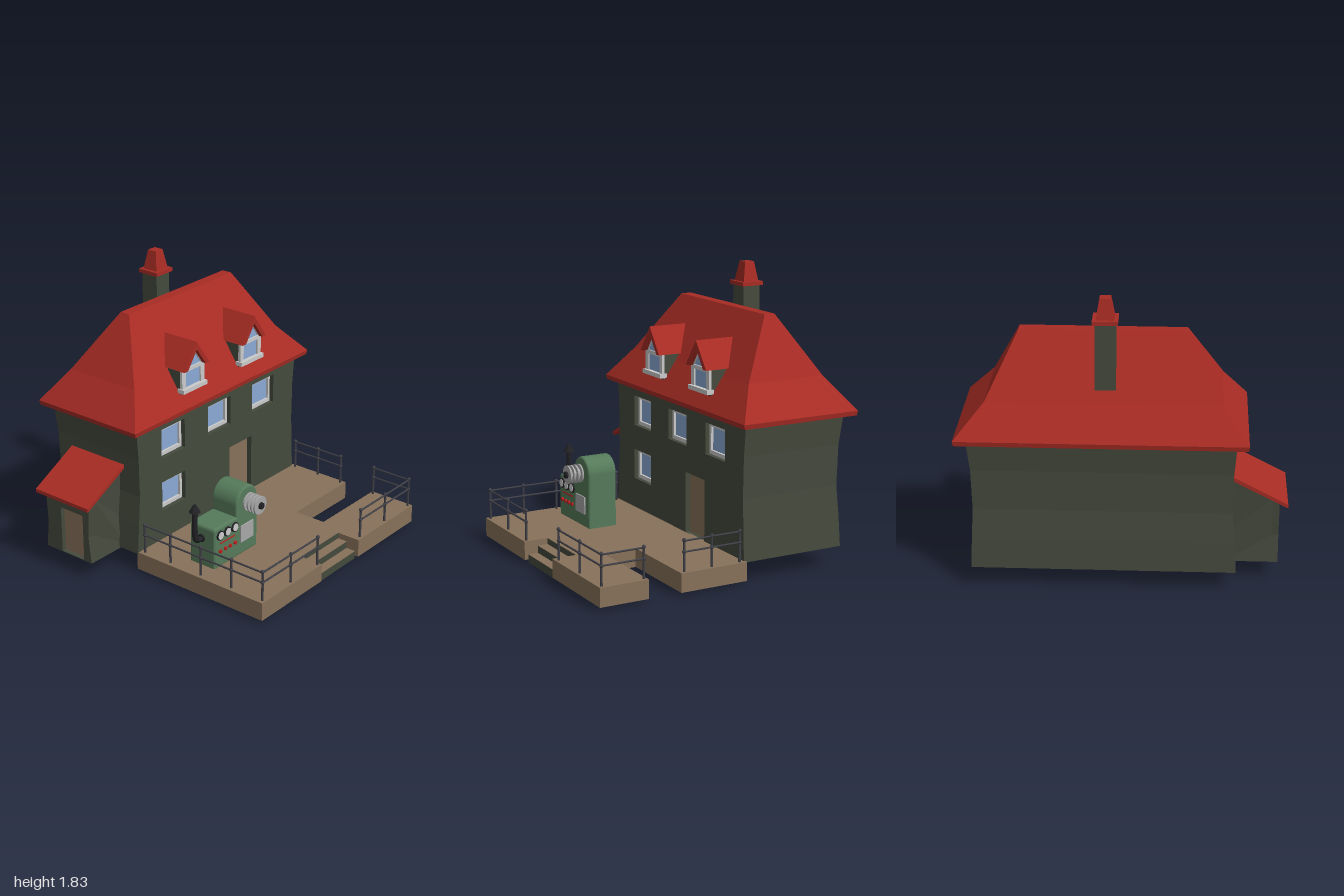
import * as THREE from 'three';

const C = { wall: 0x454a3d, roof: 0xa82c24, wood: 0x88725a, glass: 0x8aa9d6, trim: 0xbcbcbc,
  dark: 0x222226, rail: 0x404048, green: 0x557a5a, red: 0xc02020, steel: 0xa8a8a8 };
const mats = {};
function mat(color, flat) {
  const key = color + (flat ? 'f' : 's');
  return mats[key] ??= new THREE.MeshStandardMaterial({ color, flatShading: flat, side: THREE.DoubleSide });
}
function add(parent, name, geo, color, x = 0, y = 0, z = 0, flat = true) {
  const m = new THREE.Mesh(geo, mat(color, flat));
  m.name = name;
  m.position.set(x, y, z);
  parent.add(m);
  return m;
}
// box given by its extents
function block(parent, name, color, x0, x1, y0, y1, z0, z1) {
  return add(parent, name, new THREE.BoxGeometry(x1 - x0, y1 - y0, z1 - z0), color,
    (x0 + x1) / 2, (y0 + y1) / 2, (z0 + z1) / 2);
}
// stacked rectangles [y, x0, x1, z0, z1], closed at both ends
function loft(rings) {
  const pos = [], idx = [];
  rings.forEach(([y, x0, x1, z0, z1]) => pos.push(x0, y, z1, x1, y, z1, x1, y, z0, x0, y, z0));
  for (let r = 0; r < rings.length - 1; r++) for (let i = 0; i < 4; i++) {
    const a = r * 4 + i, b = r * 4 + (i + 1) % 4;
    idx.push(a, b, b + 4, a, b + 4, a + 4);
  }
  const t = rings.length * 4 - 4;
  idx.push(0, 2, 1, 0, 3, 2, t, t + 1, t + 2, t, t + 2, t + 3);
  const g = new THREE.BufferGeometry();
  g.setAttribute('position', new THREE.Float32BufferAttribute(pos, 3));
  g.setIndex(idx);
  const out = g.toNonIndexed();
  out.computeVertexNormals();
  return out;
}
const shapeOf = pts => new THREE.Shape(pts.map(p => new THREE.Vector2(p[0], p[1])));
const rectHole = (a, b, y0, y1) => new THREE.Path([[a, y0], [b, y0], [b, y1], [a, y1]].map(p => new THREE.Vector2(...p)));
// extrude a (-z, y) outline along x
function alongX(shape, x0, x1, opt = {}) {
  const g = new THREE.ExtrudeGeometry(shape, { depth: x1 - x0, bevelEnabled: false, curveSegments: 20, ...opt });
  return g.rotateY(Math.PI / 2).translate(x0, 0, 0);
}
function rod(parent, name, a, b, r, color) {
  const curve = new THREE.LineCurve3(new THREE.Vector3(...a), new THREE.Vector3(...b));
  return add(parent, name, new THREE.TubeGeometry(curve, 1, r, 8), color, 0, 0, 0, false);
}

function buildHouse(root) {
  const g = new THREE.Group(); g.name = 'house'; root.add(g);
  // curved walls: y, outer x, z range
  const prof = [[0.13, -0.82, -0.925, 0.69], [0.33, -0.81, -0.915, 0.675], [0.52, -0.795, -0.905, 0.66],
    [0.78, -0.8, -0.91, 0.665], [0.98, -0.82, -0.93, 0.68]];
  add(g, 'walls', loft(prof.map(([y, x, z0, z1]) => [y, x, -0.17, z0, z1])), C.wall);
  // courtyard wall with recessed openings
  const face = shapeOf([...prof.map(p => [-p[3], p[0]]), ...prof.slice().reverse().map(p => [-p[2], p[0]])]);
  const windows = [[0.225, 0.45, 0.705], [-0.235, -0.005, 0.705], [-0.695, -0.465, 0.705], [0.225, 0.45, 0.34]];
  windows.forEach(([z0, z1, y]) => face.holes.push(rectHole(-z1, -z0, y, y + 0.2)));
  face.holes.push(rectHole(0.225, 0.46, 0.14, 0.535));
  add(g, 'courtyardWall', alongX(face, -0.175, -0.115), C.wall);
  windows.forEach(([z0, z1, y]) => {
    const f = shapeOf([[-z1, y], [-z0, y], [-z0, y + 0.2], [-z1, y + 0.2]]);
    f.holes.push(rectHole(-z1 + 0.02, -z0 - 0.02, y + 0.025, y + 0.175));
    add(g, 'windowFrame', alongX(f, -0.17, -0.145), C.trim);
    block(g, 'windowGlass', C.glass, -0.17, -0.16, y + 0.02, y + 0.18, z0 + 0.015, z1 - 0.015);
  });
  block(g, 'houseDoor', C.wood, -0.175, -0.15, 0.14, 0.535, -0.46, -0.225);

  // hipped roof with a kink in the slope
  add(g, 'roof', loft([[0.97, -0.87, -0.065, -0.995, 0.745], [1.0, -0.875, -0.06, -1, 0.75],
    [1.2, -0.735, -0.2, -0.82, 0.595], [1.575, -0.5, -0.43, -0.63, 0.375]]), C.roof);

  // chimney
  const box = (y, r) => [y, -0.63 - r, -0.63 + r, -0.105 - r, -0.105 + r];
  add(g, 'chimneyStack', loft([box(1.12, 0.063), box(1.69, 0.06)]), C.wall);
  add(g, 'chimneyCap', loft([box(1.68, 0.076), box(1.705, 0.076), box(1.705, 0.055), box(1.83, 0.033)]), C.roof);

  // dormers
  for (const z of [0.157, -0.423]) {
    const d = new THREE.Group(); d.name = 'dormer'; d.position.z = z; g.add(d);
    add(d, 'dormerBody', alongX(shapeOf([[-0.105, 1.08], [0.105, 1.08], [0.105, 1.24], [0, 1.385], [-0.105, 1.24]]), -0.35, -0.115), C.wall);
    add(d, 'dormerRoof', alongX(shapeOf([[-0.122, 1.245], [-0.086, 1.245], [0, 1.365], [0.086, 1.245], [0.122, 1.245], [0, 1.415]]), -0.345, -0.068), C.roof);
    const f = shapeOf([[-0.108, 1.11], [0.108, 1.11], [0.108, 1.245], [0, 1.395], [-0.108, 1.245]]);
    f.holes.push(rectHole(-0.072, 0.072, 1.12, 1.225));
    f.holes.push(new THREE.Path([[-0.08, 1.25], [0.08, 1.25], [0, 1.362]].map(p => new THREE.Vector2(...p))));
    add(d, 'dormerFrame', alongX(f, -0.115, -0.098), C.trim);
    add(d, 'dormerGlass', alongX(shapeOf([[-0.09, 1.11], [0.09, 1.11], [0.09, 1.25], [0, 1.375], [-0.09, 1.25]]), -0.118, -0.108), C.glass);
    block(d, 'dormerSill', C.trim, -0.13, -0.08, 1.092, 1.12, -0.115, 0.115);
  }
}

function buildAnnex(root) {
  const g = new THREE.Group(); g.name = 'annex'; root.add(g);
  // lean-to body, sides flared toward the ground
  const body = alongX(shapeOf([[-0.91, 0.12], [-0.62, 0.12], [-0.62, 0.3], [-0.62, 0.7], [-0.91, 0.55], [-0.91, 0.3]]), -0.5, 0.5);
  const p = body.attributes.position;
  const half = y => y < 0.3 ? 0.192 - (y - 0.12) / 0.18 * 0.02 : 0.172 + Math.min(1, (y - 0.3) / 0.22) * 0.015;
  for (let i = 0; i < p.count; i++) p.setX(i, -0.463 + Math.sign(p.getX(i)) * half(p.getY(i)));
  add(g, 'annexWalls', body, C.wall);
  // front wall with the door opening
  const ys = [0.12, 0.3, 0.54];
  const front = shapeOf([...ys.map(y => [-0.463 + half(y), y]), ...ys.slice().reverse().map(y => [-0.463 - half(y), y])]);
  front.holes.push(rectHole(-0.522, -0.335, 0.125, 0.435));
  add(g, 'annexFront', new THREE.ExtrudeGeometry(front, { depth: 0.045, bevelEnabled: false }), C.wall, 0, 0, 0.905);
  block(g, 'annexDoor', C.wood, -0.525, -0.33, 0.12, 0.436, 0.9, 0.92);
  add(g, 'annexRoof', alongX(shapeOf([[-1, 0.508], [-0.64, 0.695], [-0.64, 0.722], [-1, 0.532]]), -0.685, -0.24), C.roof);
}

function buildDeck(root) {
  const g = new THREE.Group(); g.name = 'deck'; root.add(g);
  // hollow platform: top sheet and skirt
  const o = [[-0.125, 0.685], [0.87, 0.685], [0.87, 0.08], [0.71, 0.08], [0.71, -0.32], [0.87, -0.32],
    [0.87, -0.945], [0.55, -0.945], [0.55, -0.38], [0.33, -0.38], [0.33, -0.945], [-0.125, -0.945]];
  add(g, 'deckTop', new THREE.ShapeGeometry(shapeOf(o.map(([x, z]) => [x, -z]))).rotateX(-Math.PI / 2), C.wood, 0, 0.14, 0);
  o.forEach(([x, z], i) => {
    const [x2, z2] = o[(i + 1) % o.length];
    const m = add(g, 'deckSkirt', new THREE.PlaneGeometry(Math.hypot(x2 - x, z2 - z), 0.12), C.wood, (x + x2) / 2, 0.08, (z + z2) / 2);
    m.rotation.y = Math.atan2(-(z2 - z), x2 - x);
  });
  // steps
  const s = shapeOf([[0.7, 0], [0.845, 0], [0.845, 0.052], [0.78, 0.052], [0.78, 0.1], [0.713, 0.1], [0.713, 0.139], [0.7, 0.139]]);
  add(g, 'steps', new THREE.ExtrudeGeometry(s, { depth: 0.398, bevelEnabled: false }), C.wall, 0, 0, -0.319);
  block(g, 'tread', C.wood, 0.713, 0.78, 0.1, 0.102, -0.319, 0.079);
  block(g, 'tread', C.wood, 0.78, 0.845, 0.052, 0.054, -0.319, 0.079);
  // railings, one run of posts per straight side
  const runs = [
    [[-0.085, 0.655], [0.125, 0.655], [0.37, 0.655], [0.61, 0.655], [0.848, 0.655]],
    [[0.848, 0.655], [0.848, 0.375], [0.848, 0.1]],
    [[0.848, -0.365], [0.848, -0.645], [0.848, -0.922]],
    [[0.848, -0.922], [0.57, -0.922]],
    [[0.3, -0.922], [0.11, -0.922], [-0.085, -0.922]]];
  const r = new THREE.Group(); r.name = 'railing'; g.add(r);
  for (const run of runs) {
    for (const [x, z] of run) {
      add(r, 'railPost', new THREE.CylinderGeometry(0.007, 0.008, 0.2, 8), C.rail, x, 0.24, z, false);
      for (const y of [0.262, 0.335]) add(r, 'railKnob', new THREE.SphereGeometry(0.012, 10, 8), C.rail, x, y, z, false);
    }
    const [a, b] = [run[0], run[run.length - 1]];
    for (const y of [0.262, 0.33]) rod(r, 'rail', [a[0], y, a[1]], [b[0], y, b[1]], 0.006, C.rail);
  }
}

function buildMachine(root) {
  const g = new THREE.Group(); g.name = 'machine'; root.add(g);
  // casing with an arched tower
  const s = new THREE.Shape();
  s.moveTo(-0.55, 0.135); s.lineTo(-0.125, 0.135); s.lineTo(-0.125, 0.49);
  s.absarc(-0.23, 0.49, 0.105, 0, Math.PI, false);
  s.lineTo(-0.335, 0.415); s.lineTo(-0.525, 0.415);
  s.quadraticCurveTo(-0.55, 0.415, -0.55, 0.39); s.lineTo(-0.55, 0.135);
  add(g, 'casing', alongX(s, 0.21, 0.38, { bevelEnabled: true, bevelThickness: 0.015, bevelSize: 0.015, bevelOffset: -0.015, bevelSegments: 3 }), C.green, 0, 0, 0, false);
  // discs facing +x
  const disc = (name, r, x0, x1, y, z, color) =>
    add(g, name, new THREE.CylinderGeometry(r, r, x1 - x0, 24).rotateZ(-Math.PI / 2), color, (x0 + x1) / 2, y, z, false);
  disc('pulleyShaft', 0.035, 0.39, 0.495, 0.49, 0.228, C.steel);
  for (const x of [0.405, 0.435, 0.462, 0.487]) disc('pulleyDisc', 0.06, x, x + 0.011, 0.49, 0.228, C.steel);
  disc('pulleyNut', 0.022, 0.49, 0.513, 0.49, 0.228, C.dark);
  for (const z of [0.5, 0.43, 0.357]) {
    disc('gaugeRim', 0.032, 0.39, 0.405, 0.36, z, C.dark);
    disc('gaugeFace', 0.025, 0.39, 0.408, 0.36, z, 0xd0d0d0);
  }
  for (const z of [0.5, 0.45, 0.405, 0.355]) disc('button', 0.012, 0.39, 0.407, 0.25, z, C.red);
  block(g, 'redStrip', C.red, 0.39, 0.398, 0.297, 0.305, 0.355, 0.5);
  block(g, 'servicePanel', C.steel, 0.39, 0.403, 0.225, 0.34, 0.175, 0.3);
  // exhaust pipe with a rain cap
  const path = new THREE.CatmullRomCurve3([[0.54, 0.33], [0.59, 0.33], [0.61, 0.345], [0.615, 0.375], [0.615, 0.55]]
    .map(([z, y]) => new THREE.Vector3(0.292, y, z)));
  add(g, 'exhaustPipe', new THREE.TubeGeometry(path, 24, 0.018, 12), C.dark, 0, 0, 0, false);
  add(g, 'exhaustFlange', new THREE.CylinderGeometry(0.026, 0.026, 0.012, 16).rotateX(Math.PI / 2), C.dark, 0.292, 0.33, 0.556, false);
  add(g, 'exhaustCap', new THREE.CylinderGeometry(0.008, 0.036, 0.05, 16), C.dark, 0.292, 0.56, 0.615, false);
}

export function createModel() {
  const root = new THREE.Group();
  root.name = 'houseWithDeck';
  buildHouse(root);
  buildAnnex(root);
  buildDeck(root);
  buildMachine(root);
  return root;
}
